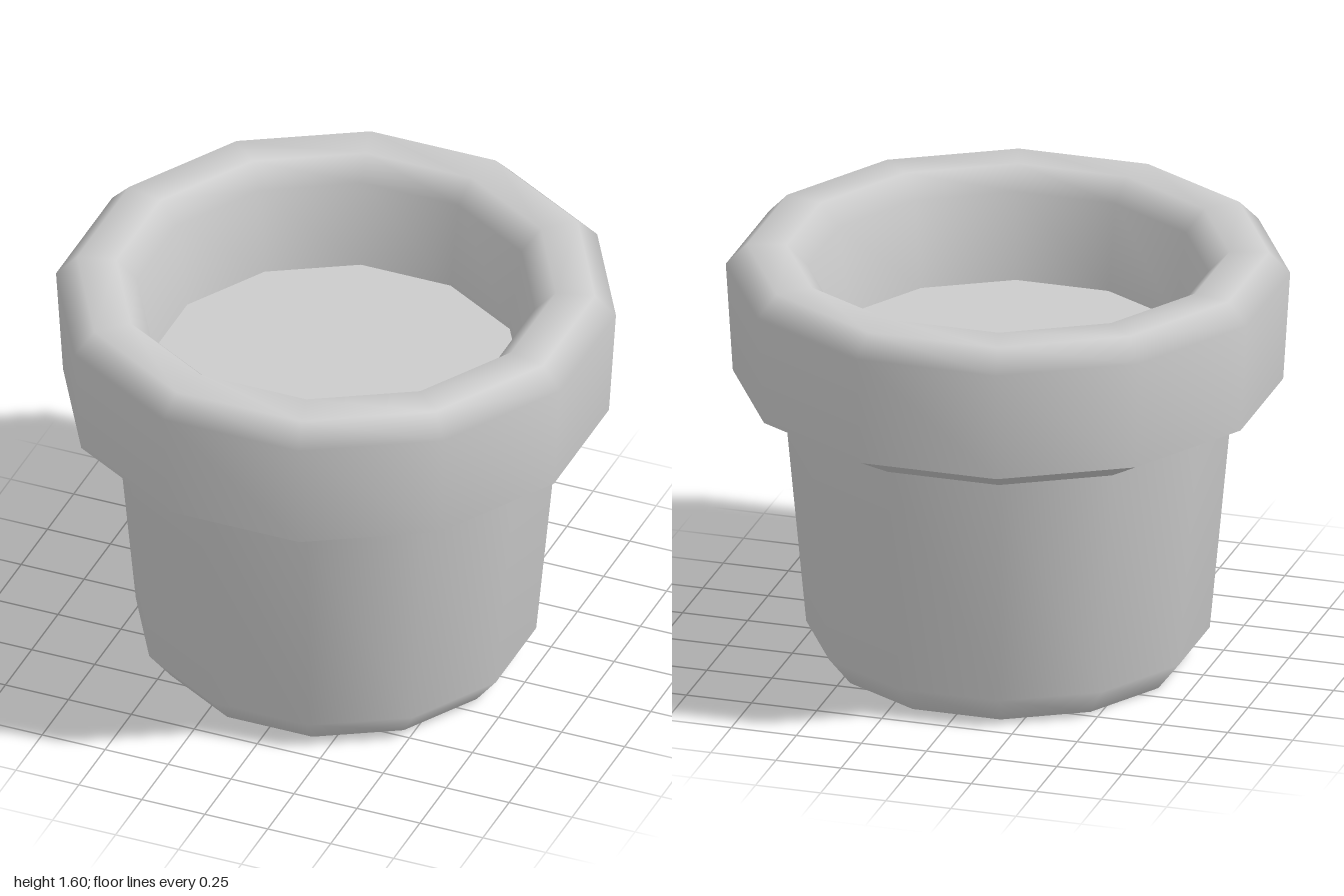
import * as THREE from 'three';

const SIDES = 12;
const HALF = Math.PI / SIDES;

// Twelve-sided ring surface; profile radii are measured to the flat sides.
function turned(name, profile, material) {
  const points = profile.map(([r, y]) => new THREE.Vector2(r / Math.cos(HALF), y));
  const mesh = new THREE.Mesh(new THREE.LatheGeometry(points, SIDES, HALF), material);
  mesh.name = name;
  return mesh;
}

export function createModel() {
  const group = new THREE.Group();
  group.name = 'flowerPot';
  const grey = new THREE.MeshStandardMaterial({ color: 0xcccccc });
  grey.name = 'plain grey';

  group.add(
    // flat underside
    turned('base', [[0, 0], [0.63, 0]], grey),
    // tapered wall with a bevelled foot
    turned('body', [[0.63, 0], [0.715, 0.11], [0.795, 1.0]], grey),
    // sloped underside of the collar
    turned('collarUnderside', [[0.795, 1.0], [0.975, 1.1]], grey),
    // collar, rounded lip and inner wall
    turned('rim', [[0.975, 1.1], [1.0, 1.52], [0.925, 1.6], [0.785, 1.6], [0.71, 1.52], [0.665, 1.19]], grey),
    // flat filling inside the pot
    turned('soil', [[0.665, 1.19], [0, 1.19]], grey)
  );
  return group;
}
